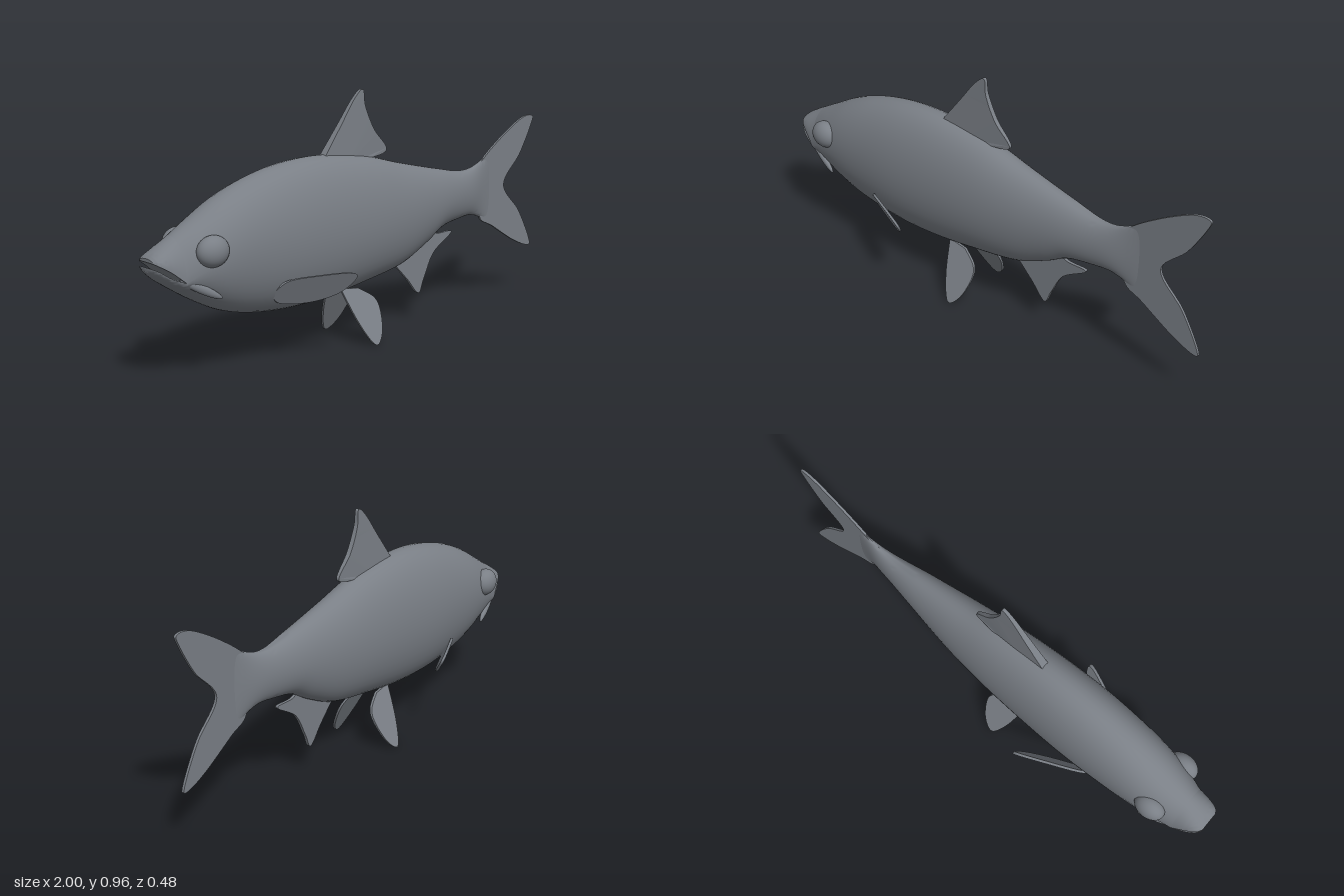
import * as THREE from 'three';
import { toCreasedNormals } from 'three/addons/utils/BufferGeometryUtils.js';

const skin = new THREE.MeshStandardMaterial({ color: 0x7a7f86 });
skin.name = 'grey skin';

// Lofts stations [x, top, mid, bottom, halfWidth]; each section is two half ellipses joined at mid.
function loft(stations, steps, sides = 40) {
  const edges = new THREE.CatmullRomCurve3(stations.map(s => new THREE.Vector3(s[0], s[1], s[3])), false, 'catmullrom');
  const waist = new THREE.CatmullRomCurve3(stations.map(s => new THREE.Vector3(s[0], s[2], s[4])), false, 'catmullrom');
  const pos = [], index = [];
  for (let i = 0; i <= steps; i++) {
    const e = edges.getPoint(i / steps), w = waist.getPoint(i / steps);
    for (let j = 0; j < sides; j++) {
      const a = j / sides * Math.PI * 2, s = Math.sin(a);
      pos.push(e.x, w.y + s * (s > 0 ? e.y - w.y : w.y - e.z), Math.cos(a) * w.z);
    }
  }
  for (let j = 0; j < sides; j++) {
    const k = (j + 1) % sides;
    for (let i = 0; i < steps; i++) {
      const a = i * sides, b = a + sides;
      index.push(a + j, b + j, b + k, a + j, b + k, a + k);
    }
  }
  // end caps
  for (const [i, front] of [[0, true], [steps, false]]) {
    const e = edges.getPoint(i / steps), c = pos.length / 3, o = i * sides;
    pos.push(e.x, (e.y + e.z) / 2, 0);
    for (let j = 0; j < sides; j++) {
      const k = (j + 1) % sides;
      index.push(c, o + (front ? j : k), o + (front ? k : j));
    }
  }
  const g = new THREE.BufferGeometry();
  g.setAttribute('position', new THREE.Float32BufferAttribute(pos, 3));
  g.setIndex(index);
  return toCreasedNormals(g, 0.8);
}

// Thin fin from an outline in x and y; zAt gives its middle plane, half its half thickness.
function fin(points, half, zAt = () => 0) {
  const v = points.map(p => new THREE.Vector2(p[0], p[1]));
  const shape = new THREE.Shape().moveTo(v[0].x, v[0].y);
  shape.splineThru(v.slice(1));
  const g = new THREE.ExtrudeGeometry(shape, { depth: 1, bevelEnabled: false, curveSegments: 40 });
  const p = g.attributes.position;
  for (let i = 0; i < p.count; i++) {
    const x = p.getX(i), y = p.getY(i);
    p.setZ(i, zAt(x, y) + (p.getZ(i) - 0.5) * 2 * half(x, y));
  }
  g.computeVertexNormals();
  return g;
}

export function createModel() {
  const model = new THREE.Group();
  model.name = 'fish';
  const add = (name, geometry) => {
    const m = new THREE.Mesh(geometry, skin);
    m.name = name;
    model.add(m);
    return m;
  };

  // Body from the mouth corner to the tail root
  add('body', loft([
    [-0.90, 0.530, 0.380, 0.340, 0.090],
    [-0.82, 0.575, 0.415, 0.290, 0.108],
    [-0.71, 0.635, 0.440, 0.235, 0.124],
    [-0.58, 0.685, 0.450, 0.200, 0.132],
    [-0.41, 0.722, 0.450, 0.182, 0.136],
    [-0.22, 0.730, 0.450, 0.186, 0.131],
    [0.00, 0.703, 0.450, 0.214, 0.119],
    [0.18, 0.657, 0.455, 0.245, 0.101],
    [0.32, 0.624, 0.465, 0.305, 0.082],
    [0.42, 0.602, 0.475, 0.360, 0.067],
    [0.53, 0.580, 0.480, 0.380, 0.047],
    [0.61, 0.583, 0.480, 0.385, 0.032],
    [0.68, 0.610, 0.485, 0.362, 0.015],
    [0.73, 0.640, 0.485, 0.325, 0.004],
  ], 78));

  // Slightly open mouth
  add('upperJaw', loft([
    [-1.000, 0.467, 0.455, 0.455, 0.040],
    [-0.985, 0.480, 0.445, 0.445, 0.060],
    [-0.950, 0.502, 0.422, 0.422, 0.076],
    [-0.900, 0.530, 0.380, 0.380, 0.090],
  ], 18));
  add('lowerJaw', loft([
    [-1.000, 0.436, 0.436, 0.420, 0.040],
    [-0.985, 0.427, 0.427, 0.403, 0.060],
    [-0.950, 0.402, 0.402, 0.374, 0.076],
    [-0.900, 0.380, 0.380, 0.340, 0.090],
  ], 18));

  // Fins on the centre line
  add('dorsalFin', fin([
    [-0.21, 0.72], [-0.12, 0.835], [-0.05, 0.925], [-0.005, 0.955], [0.006, 0.89],
    [0.05, 0.80], [0.12, 0.713], [0.01, 0.69], [-0.1, 0.68],
  ], (x, y) => 0.006 + 0.011 * THREE.MathUtils.clamp((0.97 - y) / 0.26, 0, 1) * THREE.MathUtils.clamp((0.12 - x) / 0.15, 0, 1)));
  add('analFin', fin([
    [0.16, 0.255], [0.24, 0.175], [0.303, 0.108], [0.335, 0.165], [0.39, 0.262],
    [0.495, 0.332], [0.41, 0.338], [0.35, 0.36], [0.25, 0.32],
  ], () => 0.006));
  add('tailFin', fin([
    [0.67, 0.60], [0.74, 0.652], [0.84, 0.715], [0.935, 0.762], [0.993, 0.766], [0.993, 0.735],
    [0.92, 0.61], [0.818, 0.487], [0.92, 0.36], [0.993, 0.228], [0.985, 0.199],
    [0.89, 0.235], [0.75, 0.318], [0.67, 0.365], [0.66, 0.48],
  ], () => 0.005));

  // Paired parts on both sides
  for (const [side, s] of [['left', 1], ['right', -1]]) {
    add(side + 'Eye', new THREE.SphereGeometry(1, 32, 20));
    const eye = model.children.at(-1);
    eye.scale.set(0.063, 0.056, 0.045);
    eye.position.set(-0.797, 0.476, 0.1 * s);

    // small plate behind the mouth corner
    const cheek = add(side + 'CheekPlate', new THREE.SphereGeometry(1, 24, 12));
    cheek.scale.set(0.09, 0.016, 0.012);
    cheek.position.set(-0.84, 0.35, 0.088 * s);
    cheek.rotation.set(0, -0.2 * s, -0.5);

    add(side + 'PectoralFin', fin([
      [-0.53, 0.28], [-0.49, 0.323], [-0.39, 0.334], [-0.275, 0.334], [-0.255, 0.305],
      [-0.30, 0.252], [-0.39, 0.226], [-0.49, 0.232], [-0.527, 0.26],
    ], () => 0.006, (x, y) => s * (0.235 + 0.435 * (x + 0.26) + 0.51 * (y - 0.33))));

    add(side + 'PelvicFin', fin([
      [-0.155, 0.215], [-0.125, 0.1], [-0.088, 0.018], [-0.058, 0.002], [-0.018, 0.045],
      [0.004, 0.12], [-0.01, 0.165], [-0.07, 0.205],
    ], () => 0.005, (x, y) => s * (0.045 + 0.5 * (0.2 - y))));
  }
  return model;
}
